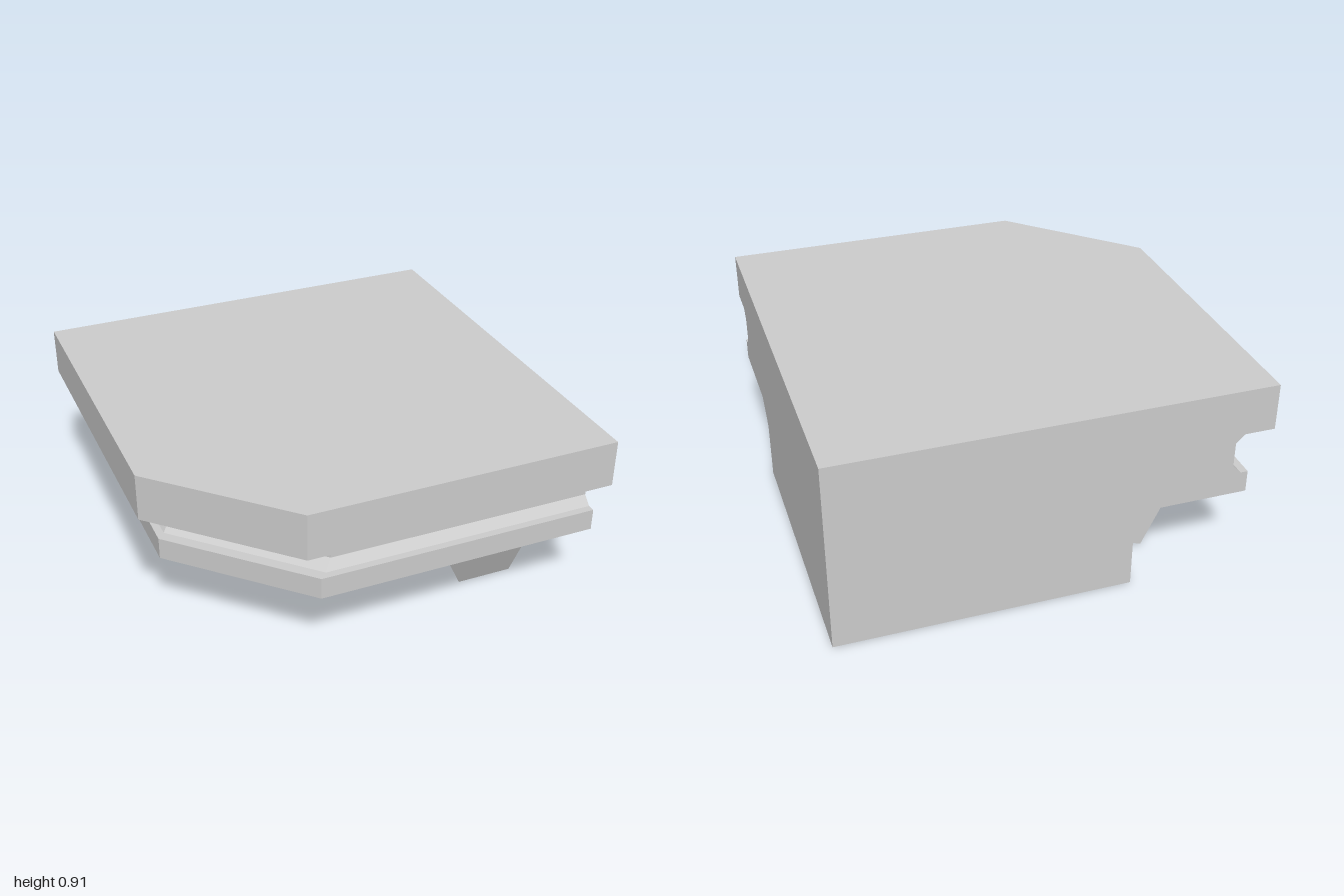
import * as THREE from 'three';

const material = new THREE.MeshStandardMaterial({ color: 0xcccccc, flatShading: true });

// Moulding profile, bottom to top: [inset from the outer edge, height]
const PROFILE = [
  [0.64, 0], [0.64, 0.277], [0.53, 0.384], [0.108, 0.384], [0.108, 0.488], [0.143, 0.488],
  [0.183, 0.528], [0.183, 0.648], [0.143, 0.688], [0, 0.688], [0, 0.909],
];

// Plan outline at one level; only the front, chamfer and -x sides follow the inset
function outline([d, y]) {
  return [
    [1, y, 1 - d], [-0.452 + d, y, 1 - d], [-1 + d, y, 0.452 - d], [-1 + d, y, -1], [1, y, -1],
  ];
}

// Block with the moulding mitred round its chamfered corner
function corniceGeometry() {
  const rings = PROFILE.map(outline);
  const positions = [];
  const fan = (points) => {
    for (let i = 1; i < points.length - 1; i++) {
      positions.push(...points[0], ...points[i], ...points[i + 1]);
    }
  };
  for (let k = 0; k < rings.length - 1; k++) {
    const low = rings[k], high = rings[k + 1];
    const level = PROFILE[k][1] === PROFILE[k + 1][1];
    // Level steps exist only on the three moulded sides
    const sides = level ? [0, 1, 2] : [0, 1, 2, 3, 4];
    for (const i of sides) {
      const j = (i + 1) % 5;
      fan([low[i], high[i], high[j], low[j]]);
    }
  }
  fan(rings[0]);
  fan([...rings[rings.length - 1]].reverse());

  const geometry = new THREE.BufferGeometry();
  geometry.setAttribute('position', new THREE.Float32BufferAttribute(positions, 3));
  geometry.computeVertexNormals();
  return geometry;
}

// Tapered bracket: x points outward from the wall, the lowest tip is at x = 0
function bracketGeometry() {
  const width = 0.272;
  const shape = new THREE.Shape([
    [-0.35, 0.143], [0, 0.013], [0.175, 0.377], [-0.35, 0.377],
  ].map(([x, y]) => new THREE.Vector2(x, y)));
  return new THREE.ExtrudeGeometry(shape, { depth: width, bevelEnabled: false })
    .translate(0, 0, -width / 2);
}

export function createModel() {
  const model = new THREE.Group();
  model.name = 'corniceCorner';

  const cornice = new THREE.Mesh(corniceGeometry(), material);
  cornice.name = 'corniceBlock';
  model.add(cornice);

  // One bracket on each moulded side: name, x, z, turn
  const bracket = bracketGeometry();
  for (const [name, x, z, turn] of [
    ['frontBracket', 0.638, 0.59, -Math.PI / 2],
    ['cornerBracket', -0.225, 0.225, -Math.PI * 0.75],
    ['sideBracket', -0.51, -0.638, Math.PI],
  ]) {
    const mesh = new THREE.Mesh(bracket, material);
    mesh.name = name;
    mesh.position.set(x, 0, z);
    mesh.rotation.y = turn;
    model.add(mesh);
  }
  return model;
}
